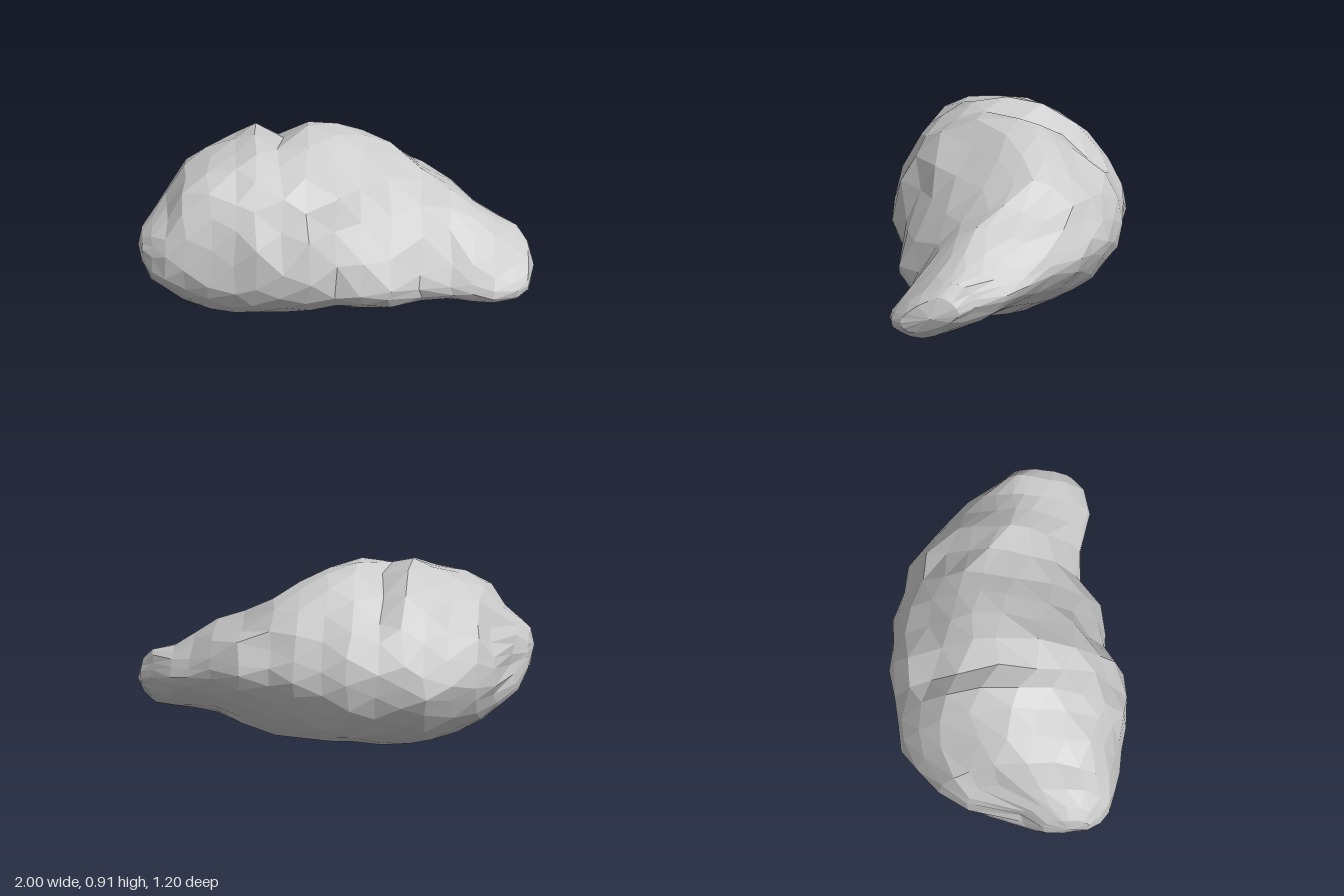
import * as THREE from 'three';

// Cross-sections along x:
// [x, back z, front z, bottom y, top y, widest y at back, widest y at front, ridge z]
const SECTIONS = [
  [-0.98, 0.17, 0.41, 0.33, 0.51, 0.42, 0.41, 0.30],
  [-0.93, 0.06, 0.47, 0.23, 0.57, 0.41, 0.37, 0.25],
  [-0.86, -0.22, 0.52, 0.17, 0.65, 0.41, 0.33, 0.17],
  [-0.77, -0.36, 0.55, 0.11, 0.77, 0.40, 0.31, 0.15],
  [-0.64, -0.46, 0.57, 0.05, 0.84, 0.39, 0.30, 0.15],
  [-0.52, -0.55, 0.58, 0.02, 0.88, 0.38, 0.30, 0.08],
  [-0.41, -0.56, 0.59, 0.005, 0.92, 0.38, 0.30, 0.03],
  [-0.28, -0.57, 0.59, 0.005, 0.88, 0.38, 0.30, 0.00],
  [-0.14, -0.59, 0.58, 0.02, 0.91, 0.38, 0.28, -0.05],
  [0.00, -0.58, 0.50, 0.03, 0.88, 0.39, 0.24, -0.12],
  [0.13, -0.57, 0.49, 0.03, 0.83, 0.40, 0.22, -0.15],
  [0.27, -0.52, 0.48, 0.04, 0.75, 0.40, 0.21, -0.16],
  [0.43, -0.50, 0.37, 0.06, 0.66, 0.40, 0.20, -0.09],
  [0.58, -0.38, 0.37, 0.09, 0.60, 0.38, 0.19, 0.00],
  [0.70, -0.28, 0.40, 0.10, 0.51, 0.35, 0.18, 0.04],
  [0.80, -0.19, 0.42, 0.10, 0.45, 0.32, 0.18, 0.06],
  [0.91, -0.04, 0.39, 0.11, 0.42, 0.30, 0.20, 0.08],
  [0.97, 0.03, 0.33, 0.16, 0.36, 0.27, 0.22, 0.13],
];

// Hollows in the surface: centre, radius, push direction
const DENTS = [
  { at: [-0.86, 0.36, -0.06], r: 0.12, push: [0.07, 0, 0] },
  { at: [-0.85, 0.52, -0.06], r: 0.12, push: [0.07, 0, 0] },
  { at: [-0.38, 0.88, 0.08], r: 0.08, push: [0, -0.04, 0] },
  { at: [-0.25, 0.74, -0.38], r: 0.12, push: [0, -0.03, 0.02] },
  { at: [0.02, 0.78, -0.34], r: 0.12, push: [0, -0.03, 0.02] },
  { at: [-0.75, 0.27, 0.50], r: 0.12, push: [0, 0, -0.03] },
];

const SIDES = 20;
const { lerp, smoothstep } = THREE.MathUtils;

function seeded(seed) {
  return () => {
    seed = (seed * 16807) % 2147483647;
    return seed / 2147483647 - 0.5;
  };
}

// One point on a section made of four superellipse quarters:
// round at the left mass, nearly straight slopes on the right arm
function sectionPoint([x, back, front, bottom, top, backWaist, frontWaist, ridge], angle) {
  const c = Math.cos(angle), s = Math.sin(angle);
  const isFront = c > 0, isTop = s > 0;
  const arm = smoothstep(x, -0.15, 0.35);
  const topPower = isFront ? lerp(2.2, 1.35, arm) : 1.8;
  const lowPower = isFront ? 2.1 : lerp(2.1, 1.5, arm);
  const power = 2 / (isTop ? topPower : lowPower);
  const u = Math.abs(c) ** power, v = Math.abs(s) ** power;

  const keel = ridge - 0.1 + 0.25 * smoothstep(x, -0.2, 0.8);
  const mid = isTop ? ridge : keel;
  const waist = isFront ? frontWaist : backWaist;
  const z = lerp(mid, isFront ? front : back, u);
  const y = lerp(waist, isTop ? top : bottom, v);
  return new THREE.Vector3(x, y, z);
}

function applyDents(p) {
  for (const { at, r, push } of DENTS) {
    const d = p.distanceTo(new THREE.Vector3(...at)) / r;
    p.addScaledVector(new THREE.Vector3(...push), Math.exp(-d * d));
  }
}

function rockGeometry() {
  const random = seeded(4217);
  const points = [];
  const index = [];

  // Rings, staggered by half a step so the facets are irregular triangles
  SECTIONS.forEach((section, i) => {
    const rough = 0.04 * (section[4] - section[3]);
    for (let j = 0; j < SIDES; j++) {
      const angle = ((j + (i % 2) * 0.5 + random() * 0.35) / SIDES) * Math.PI * 2;
      const p = sectionPoint(section, angle);
      const upper = p.y > section[5] ? 1 : 0.4;
      p.x += random() * rough;
      p.y += random() * rough * upper;
      p.z += random() * rough * upper;
      applyDents(p);
      p.y = Math.max(p.y, 0);
      points.push(p);
    }
  });

  // Facets between neighbouring rings
  for (let i = 0; i < SECTIONS.length - 1; i++) {
    for (let j = 0; j < SIDES; j++) {
      const k = (j + 1) % SIDES;
      const a = i * SIDES + j, d = i * SIDES + k;
      const b = a + SIDES, c = d + SIDES;
      if (i % 2) index.push(a, b, c, a, c, d);
      else index.push(a, b, d, b, c, d);
    }
  }

  // Blunt ends
  const left = points.push(new THREE.Vector3(-1, 0.43, 0.31)) - 1;
  const right = points.push(new THREE.Vector3(1, 0.25, 0.17)) - 1;
  const last = (SECTIONS.length - 1) * SIDES;
  for (let j = 0; j < SIDES; j++) {
    const k = (j + 1) % SIDES;
    index.push(left, j, k, right, last + k, last + j);
  }

  const geometry = new THREE.BufferGeometry().setFromPoints(points);
  geometry.setIndex(index);
  const faceted = geometry.toNonIndexed();
  faceted.computeVertexNormals();
  return faceted;
}

export function createModel() {
  const group = new THREE.Group();
  group.name = 'boulder';
  const rock = new THREE.Mesh(
    rockGeometry(),
    new THREE.MeshStandardMaterial({ color: 0xcccccc, flatShading: true })
  );
  rock.name = 'rock';
  group.add(rock);
  return group;
}
